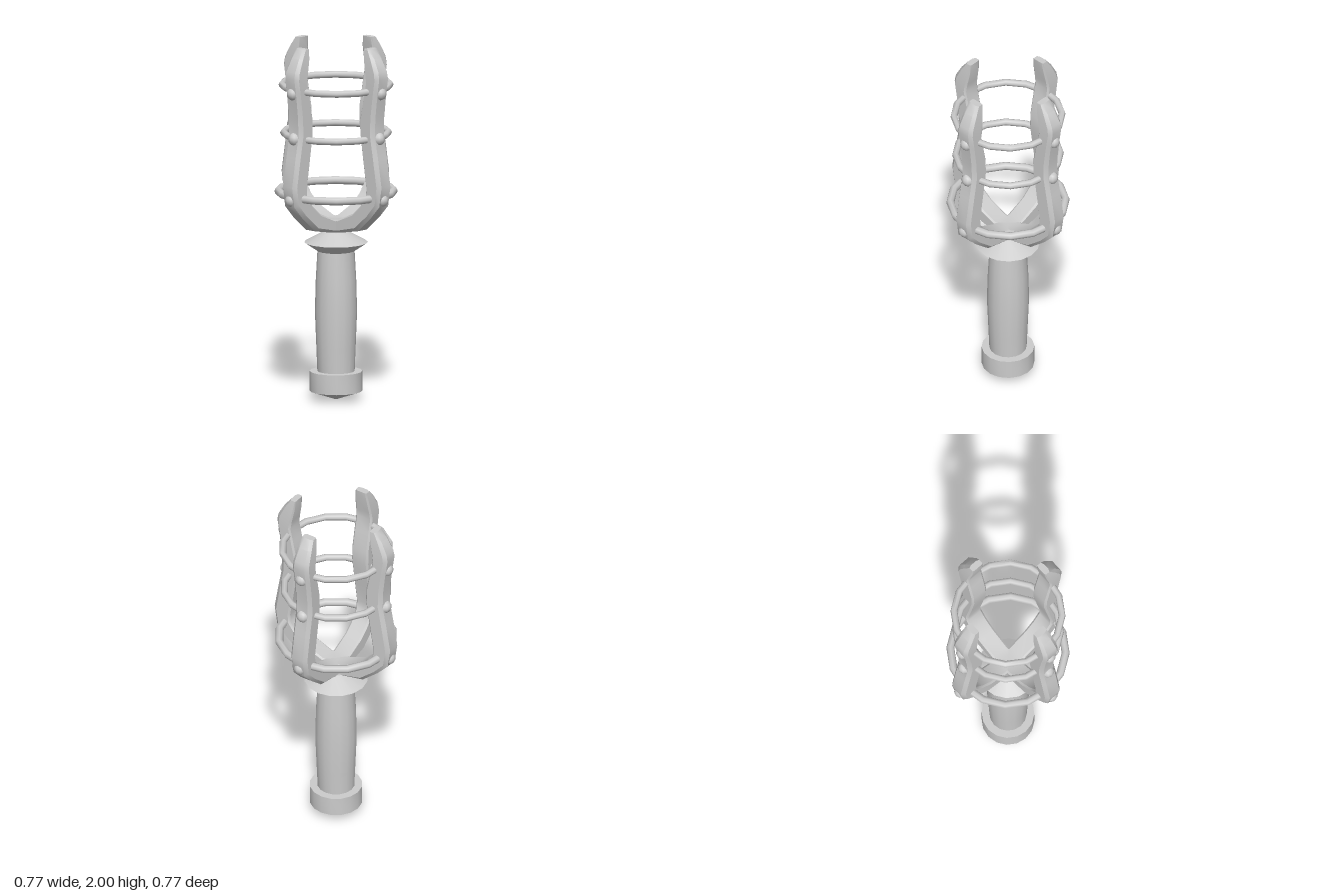
import * as THREE from 'three';
import { toCreasedNormals } from 'three/addons/utils/BufferGeometryUtils.js';

const material = new THREE.MeshStandardMaterial({ color: 0xcccccc });

function add(parent, name, geometry, crease = 0.6) {
  const mesh = new THREE.Mesh(toCreasedNormals(geometry, crease), material);
  mesh.name = name;
  parent.add(mesh);
  return mesh;
}

function lathe(points, sides = 16) {
  return new THREE.LatheGeometry(points.map(([r, y]) => new THREE.Vector2(r, y)), sides);
}

// Rib stations from the hub to the tip: outer radius, outer y, inner radius, inner y, half width
const ribStations = [
  [0, 0.945, 0, 1.02, 0.053],
  [0.07, 0.95, 0.06, 1.022, 0.053],
  [0.2, 0.975, 0.17, 1.07, 0.053],
  [0.3, 1.06, 0.23, 1.12, 0.053],
  [0.365, 1.13, 0.272, 1.18, 0.053],
  [0.382, 1.24, 0.274, 1.23, 0.053],
  [0.355, 1.4, 0.25, 1.38, 0.053],
  [0.332, 1.52, 0.228, 1.53, 0.053],
  [0.335, 1.62, 0.23, 1.61, 0.053],
  [0.35, 1.75, 0.255, 1.73, 0.053],
  [0.364, 1.84, 0.272, 1.81, 0.053],
  [0.357, 1.88, 0.265, 1.86, 0.051],
  [0.32, 1.95, 0.25, 1.94, 0.045],
  [0.282, 2.0, 0.245, 2.0, 0.036],
];

// Chamfered bar swept through the stations, closed at the tip
function ribGeometry() {
  const pos = [], index = [], n = 8;
  for (const [ro, yo, ri, yi, w] of ribStations) {
    const a = w - 0.018, b = w - 0.01;
    const section = [
      [1, a], [1, -a], [0.8, -w], [0.1, -w],
      [0, -b], [0, b], [0.1, w], [0.8, w],
    ];
    for (const [t, z] of section) pos.push(ri + (ro - ri) * t, yi + (yo - yi) * t, z);
  }
  const last = ribStations.length - 1;
  for (let i = 0; i < last; i++) {
    for (let j = 0; j < n; j++) {
      const a = i * n + j, b = i * n + (j + 1) % n;
      index.push(a, b, a + n, b, b + n, a + n);
    }
  }
  for (let j = 1; j < n - 1; j++) index.push(last * n, last * n + j, last * n + j + 1);
  const g = new THREE.BufferGeometry();
  g.setAttribute('position', new THREE.Float32BufferAttribute(pos, 3));
  g.setIndex(index);
  return g;
}

export function createModel() {
  const model = new THREE.Group();
  model.name = 'cagedMace';

  // Handle, bottom to top
  add(model, 'pommel', lathe([[0, 0.005], [0.145, 0.055], [0.145, 0.165], [0, 0.165]]), 0.5);
  add(model, 'grip', lathe([[0.102, 0.15], [0.108, 0.3], [0.116, 0.5], [0.111, 0.68], [0.102, 0.84]]));
  add(model, 'guard', lathe([[0, 0.825], [0.085, 0.825], [0.175, 0.885], [0.065, 0.945], [0, 0.945]]), 0.5);

  // Cage rings: height, radius, tube thickness
  const rings = [[1.17, 0.317, 0.022], [1.497, 0.288, 0.019], [1.765, 0.297, 0.019]];
  for (const [y, radius, tube] of rings) {
    const ring = add(model, 'cageRing', new THREE.TorusGeometry(radius, tube, 8, 16), 0.9);
    ring.rotation.x = Math.PI / 2;
    ring.position.y = y;
  }

  // Four ribs, each with three rivets on the outside
  const rivets = [[0.35, 1.163], [0.324, 1.502], [0.336, 1.757]];
  for (let k = 0; k < 4; k++) {
    const arm = new THREE.Group();
    arm.name = 'cageArm';
    arm.rotation.y = k * Math.PI / 2;
    add(arm, 'rib', ribGeometry());
    for (const [r, y] of rivets) {
      add(arm, 'rivet', new THREE.SphereGeometry(0.037, 10, 8), 1).position.set(r, y, 0);
    }
    model.add(arm);
  }
  return model;
}
